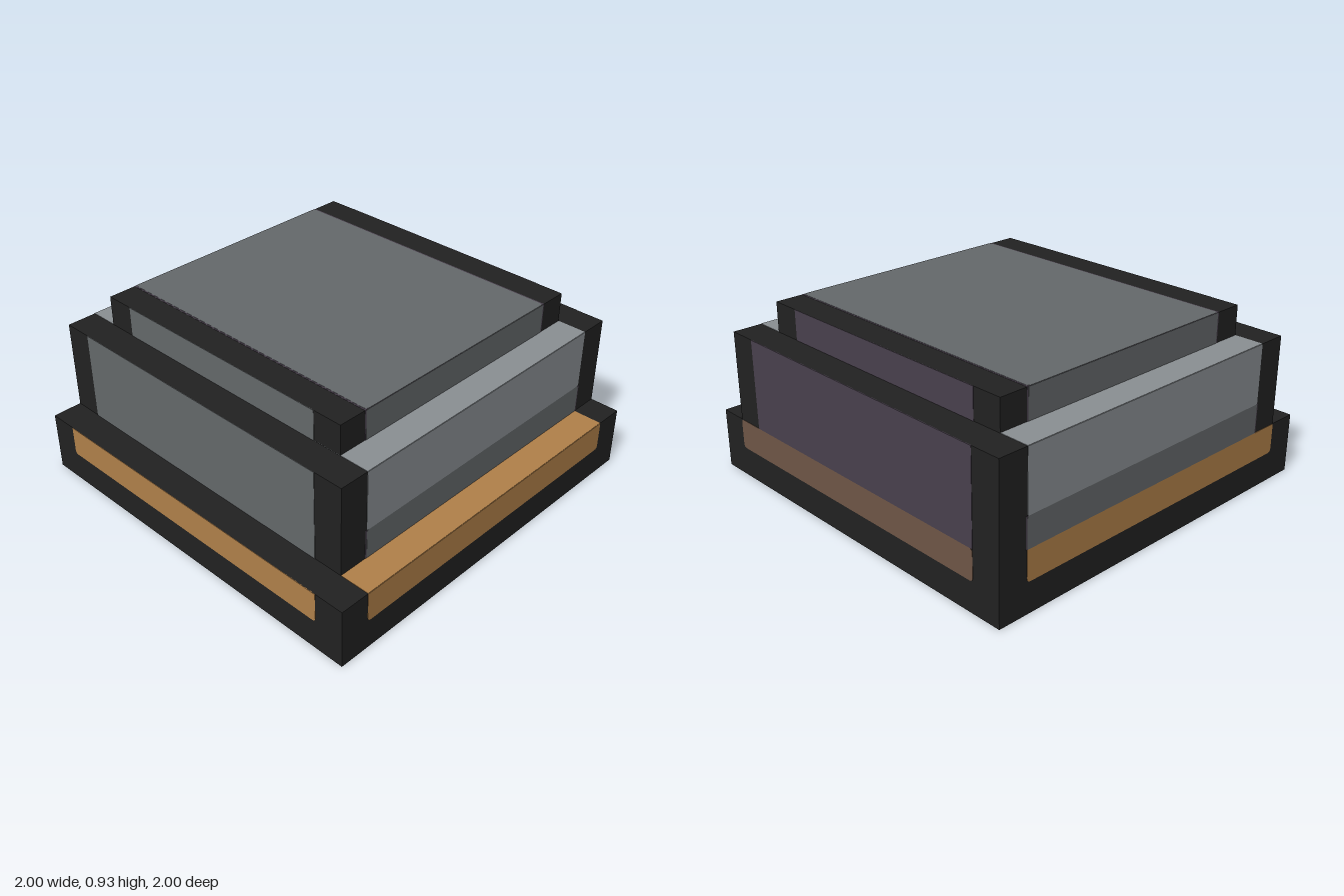
import * as THREE from 'three';

// The model sits on a grid of 13 x 13 cells
const CELL = 2 / 13;
const HALF = 6.5;
const PROUD = 0.002;

const paint = (name, color) => Object.assign(new THREE.MeshStandardMaterial({ color }), { name });

// Rectangle with separate radii for its bottom and top corners
function plateShape(u0, u1, v0, v1, rb, rt) {
  const s = new THREE.Shape();
  s.moveTo(u0 + rb, v0);
  s.lineTo(u1 - rb, v0);
  if (rb) s.quadraticCurveTo(u1, v0, u1, v0 + rb);
  s.lineTo(u1, v1 - rt);
  if (rt) s.quadraticCurveTo(u1, v1, u1 - rt, v1);
  s.lineTo(u0 + rt, v1);
  if (rt) s.quadraticCurveTo(u0, v1, u0, v1 - rt);
  s.lineTo(u0, v0 + rb);
  if (rb) s.quadraticCurveTo(u0, v0, u0 + rb, v0);
  return s;
}

export function createModel() {
  const model = new THREE.Group();
  model.name = 'steppedBlock';

  const black = paint('black', 0x222222);
  const orange = paint('orange', 0xb2814a);
  const brown = paint('brown', 0x705747);
  const purple = paint('purple', 0x4a414e);
  const grey = paint('grey', 0x65696b);
  const silver = paint('silver', 0x8b9094);

  // Tiers: extents in cells
  const base = { name: 'base', x: [0, 13], y: [0, 2], z: [0, 13] };
  const middle = { name: 'middle', x: [1, 13], y: [2, 5], z: [0, 12] };
  const cap = { name: 'cap', x: [2, 12], y: [5, 6], z: [1, 11] };

  for (const t of [base, middle, cap]) {
    const [w, h, d] = [t.x, t.y, t.z].map(([a, b]) => (b - a) * CELL);
    const body = new THREE.Mesh(new THREE.BoxGeometry(w, h, d), black);
    body.name = t.name + 'Frame';
    body.position.set(
      ((t.x[0] + t.x[1]) / 2 - HALF) * CELL,
      ((t.y[0] + t.y[1]) / 2) * CELL,
      ((t.z[0] + t.z[1]) / 2 - HALF) * CELL
    );
    model.add(body);
  }

  // Thin plate on one side of a tier; u and v are cell ranges along the side
  function panel(tier, side, material, u, v, { bottom = 0, top = 0, proud = PROUD } = {}) {
    const isTop = side === 'Top';
    let us = u.map((n) => (n - HALF) * CELL);
    let vs = v.map((n) => (isTop ? n - HALF : n) * CELL);
    if (side === 'Back' || side === 'PlusX') us = [-us[1], -us[0]];
    if (isTop) vs = [-vs[1], -vs[0]];
    const geo = new THREE.ExtrudeGeometry(plateShape(...us, ...vs, bottom, top), {
      depth: proud * 2, bevelEnabled: false, curveSegments: 4,
    });
    const level = {
      Front: (tier.z[1] - HALF) * CELL,
      Back: (HALF - tier.z[0]) * CELL,
      PlusX: (tier.x[1] - HALF) * CELL,
      MinusX: (HALF - tier.x[0]) * CELL,
      Top: tier.y[1] * CELL,
    }[side];
    geo.translate(0, 0, level - proud);
    if (isTop) geo.rotateX(-Math.PI / 2);
    else geo.rotateY({ Front: 0, Back: Math.PI, PlusX: Math.PI / 2, MinusX: -Math.PI / 2 }[side]);
    const mesh = new THREE.Mesh(geo, material);
    mesh.name = `${tier.name}${side}${material.name[0].toUpperCase()}${material.name.slice(1)}Panel`;
    model.add(mesh);
  }

  // Grey panel with a fine purple border peeking out at both ends
  function edgedPanel(tier, side, u, v, corners) {
    panel(tier, side, purple, [u[0] - 0.05, u[1] + 0.05], v, { proud: PROUD / 2 });
    panel(tier, side, grey, u, v, corners);
  }

  const R = 0.02;

  // Front and back bands
  for (const side of ['Front', 'Back']) {
    panel(base, side, orange, [1, 12], [1, 2], { bottom: R });
    edgedPanel(middle, side, [2, 12], [2, 3], { top: R / 2 });
    panel(middle, side, silver, [2, 12], [3, 5], { bottom: R / 2 });
    edgedPanel(cap, side, [3, 11], [5, 6]);
  }

  // Side panels
  panel(base, 'PlusX', brown, [1, 12], [1, 2], { bottom: R, top: R });
  panel(middle, 'PlusX', purple, [1, 11], [2, 5]);
  panel(cap, 'PlusX', purple, [2, 10], [5, 6]);
  panel(base, 'MinusX', orange, [1, 12], [1, 2], { bottom: R });
  panel(middle, 'MinusX', grey, [1, 11], [2, 5]);
  panel(cap, 'MinusX', grey, [2, 10], [5, 6]);

  // Tops of the steps
  panel(base, 'Top', orange, [1, 12], [12, 13]);
  panel(middle, 'Top', silver, [2, 12], [0, 12]);
  edgedPanel(cap, 'Top', [3, 11], [1, 11], { bottom: R, top: R });

  return model;
}
